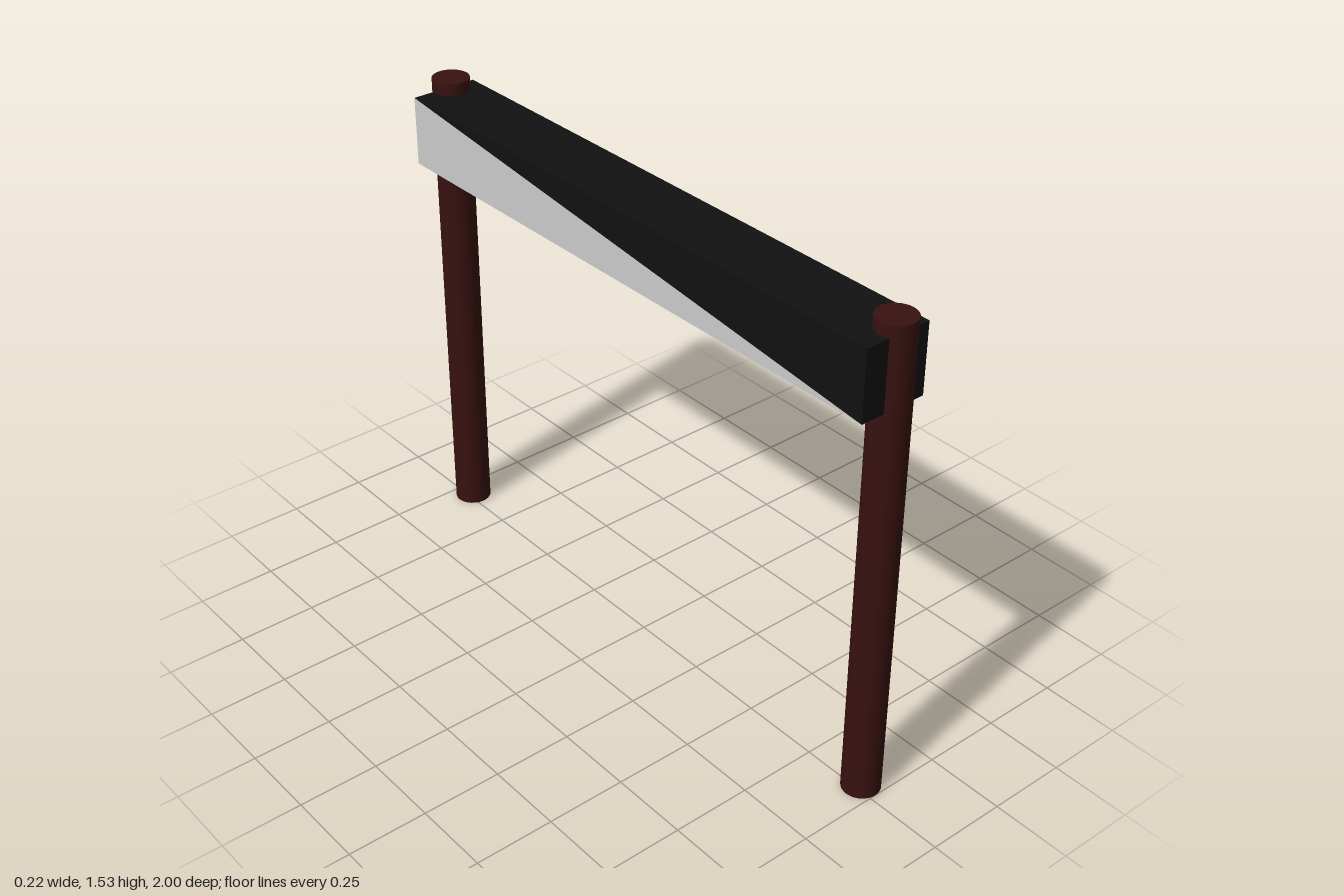
import * as THREE from 'three';

// Flat-shaded mesh from box corners; corner index bits: 1 = +x, 2 = +y, 4 = +z
function cornerMesh(name, min, max, triangles, color) {
  const positions = triangles.flat().flatMap((i) => [
    i & 1 ? max.x : min.x,
    i & 2 ? max.y : min.y,
    i & 4 ? max.z : min.z,
  ]);
  const geometry = new THREE.BufferGeometry();
  geometry.setAttribute('position', new THREE.Float32BufferAttribute(positions, 3));
  geometry.computeVertexNormals();
  const mesh = new THREE.Mesh(geometry, new THREE.MeshStandardMaterial({ color }));
  mesh.name = name;
  return mesh;
}

export function createModel() {
  const model = new THREE.Group();
  model.name = 'barrier';

  // Two round upright posts
  const postHeight = 1.535;
  const postGeometry = new THREE.CylinderGeometry(0.058, 0.058, postHeight, 32);
  const postMaterial = new THREE.MeshStandardMaterial({ color: 0x381210 });
  for (const [name, z] of [['frontPost', 0.942], ['backPost', -0.942]]) {
    const post = new THREE.Mesh(postGeometry, postMaterial);
    post.name = name;
    post.position.set(0.019, postHeight / 2, z);
    model.add(post);
  }

  // Crossbeam, each long side split along its diagonal into two colours
  const min = new THREE.Vector3(-0.108, 1.281, -0.954);
  const max = new THREE.Vector3(0.108, 1.498, 0.97);
  const beam = new THREE.Group();
  beam.name = 'crossbeam';
  beam.add(
    cornerMesh('beamBody', min, max, [
      [6, 4, 5], [6, 5, 7], // front end
      [3, 1, 0], [3, 0, 2], // back end
      [6, 7, 3], [6, 3, 2], // top
      [0, 1, 5], [0, 5, 4], // bottom
      [7, 5, 1], [2, 4, 6], // dark half of each side
    ], 0x111111),
    cornerMesh('beamPaleHalves', min, max, [[7, 1, 3], [2, 0, 4]], 0xcccccc),
  );
  model.add(beam);

  return model;
}
